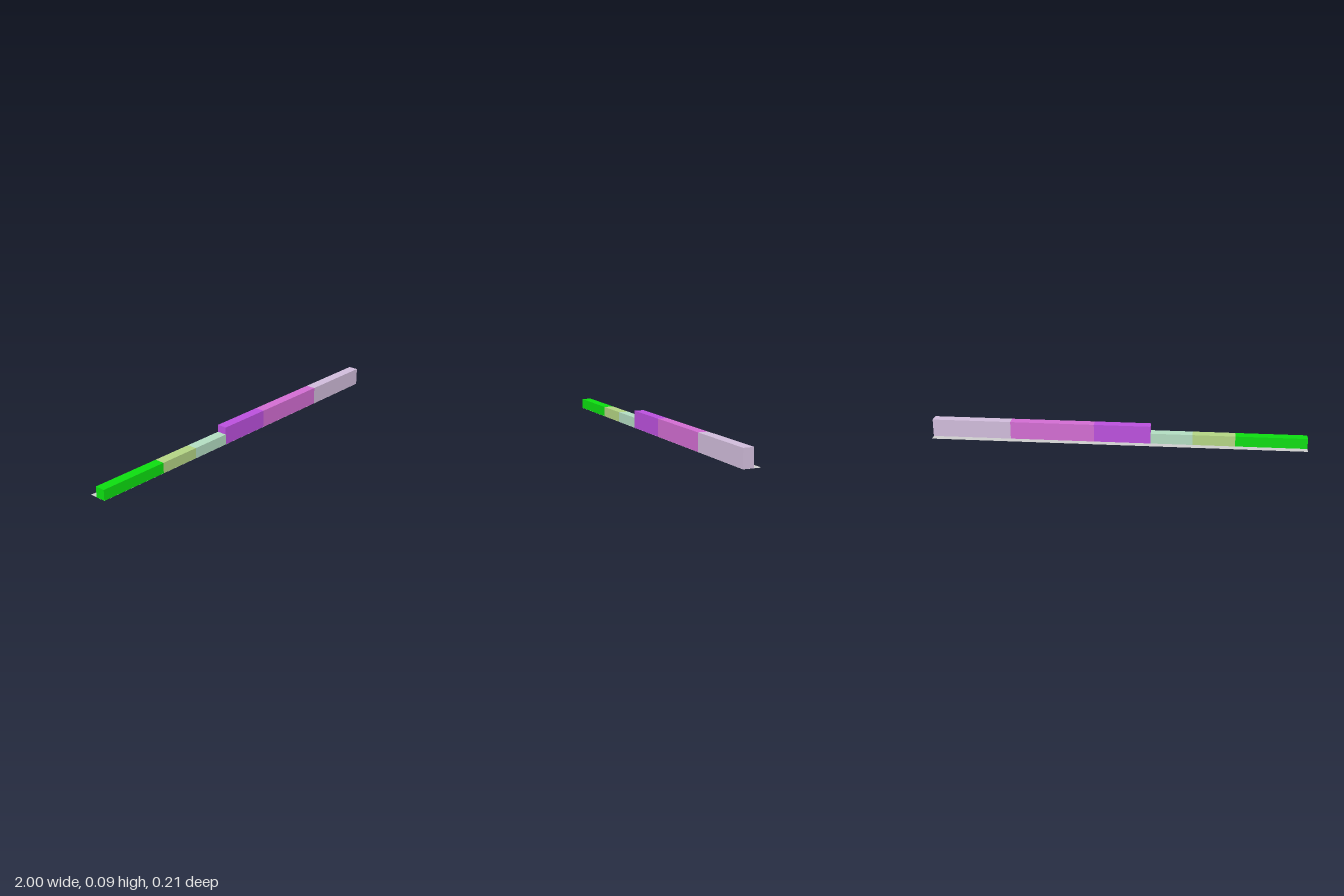
import * as THREE from 'three';

const HALF = 0.999;    // half length of the row
const WIDTH = 0.093;   // width of the base strip
const DEPTH = 0.054;   // depth of the blocks
const LIFT = 0.0004;   // keeps block undersides clear of the strip

export function createModel() {
  const model = new THREE.Group();
  model.name = 'blockRow';

  // Blocks end to end: name, start, end, height, colour
  const blocks = [
    ['greenBlock', -HALF, -0.623, 0.056, 0x0cdd10],
    ['oliveBlock', -0.623, -0.399, 0.056, 0xb3d483],
    ['mintBlock', -0.399, -0.177, 0.056, 0xb2dcc1],
    ['violetBlock', -0.177, 0.125, 0.095, 0xbb50dd],
    ['orchidBlock', 0.125, 0.575, 0.095, 0xd26dd2],
    ['lilacBlock', 0.575, HALF, 0.095, 0xd0bcda],
  ];
  for (const [name, start, end, height, color] of blocks) {
    const block = new THREE.Mesh(
      new THREE.BoxGeometry(end - start, height - LIFT, DEPTH),
      new THREE.MeshStandardMaterial({ color })
    );
    block.name = name;
    block.position.set((start + end) / 2, (height + LIFT) / 2, (WIDTH - DEPTH) / 2);
    model.add(block);
  }

  // Thin ground strip under the blocks, showing behind them
  const strip = new THREE.Mesh(
    new THREE.PlaneGeometry(2 * HALF, WIDTH).rotateX(-Math.PI / 2),
    new THREE.MeshStandardMaterial({ color: 0xcccccc, side: THREE.DoubleSide })
  );
  strip.name = 'baseStrip';
  model.add(strip);

  // The whole row stands slightly askew
  model.rotation.y = 0.0586;
  const root = new THREE.Group();
  root.name = 'model';
  root.add(model);
  return root;
}
